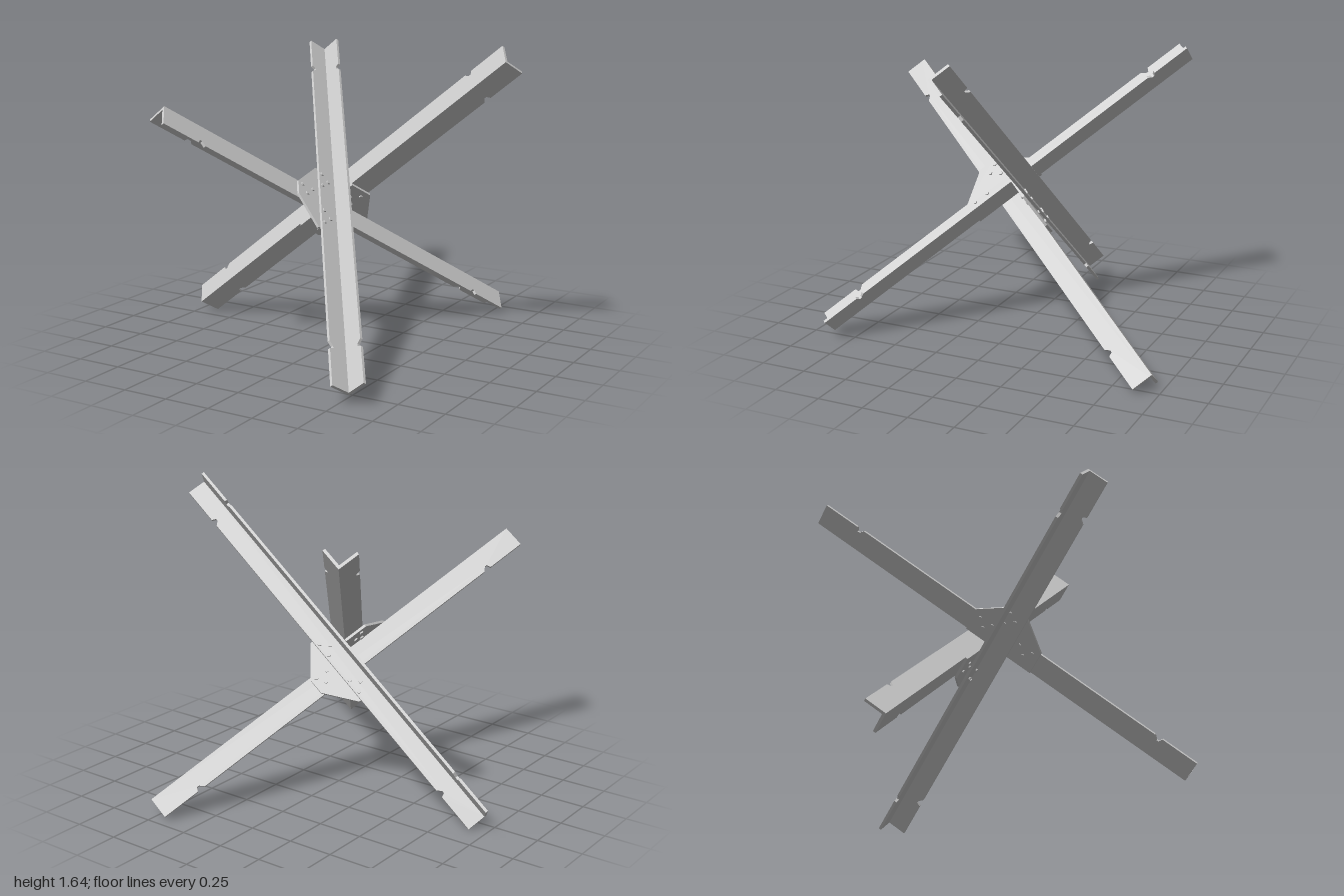
import * as THREE from 'three';

const LENGTH = 2.43, WIDTH = 0.12, THICK = 0.015, PLATE = 0.014;
const material = new THREE.MeshStandardMaterial({ color: 0xcccccc, flatShading: true });

const vec = (x, y, z) => new THREE.Vector3(x, y, z);

function plate(points, depth) {
  const shape = new THREE.Shape(points.map(([x, y]) => new THREE.Vector2(x, y)));
  return new THREE.ExtrudeGeometry(shape, { depth, bevelEnabled: false });
}

function addMesh(parent, geometry, name) {
  const mesh = new THREE.Mesh(geometry, material);
  mesh.name = name;
  parent.add(mesh);
  return mesh;
}

// Group whose local x, y, z run along the given axes from an origin
function orientedGroup(name, origin, x, y, z) {
  const group = new THREE.Group();
  group.name = name;
  group.quaternion.setFromRotationMatrix(new THREE.Matrix4().makeBasis(x, y, z));
  group.position.copy(origin);
  return group;
}

// One leg of the angle section, with a notch in its free edge near each end
function flange(inner) {
  const h = LENGTH / 2;
  const notch = [[0.215, 0], [0.225, 0.022], [0.238, 0.022], [0.26, 0]];
  const right = notch.map(([d, s]) => [h - d, WIDTH - s]);
  const left = right.map(([x, y]) => [-x, y]).reverse();
  return plate([[-h, inner], [h, inner], [h, WIDTH], ...right, ...left, [-h, WIDTH]], THICK);
}

// Angle beam along local x, with flanges along local y and z from the ridge
function beam(name, origin, x, y, z) {
  const group = orientedGroup(name, origin, x, y, z);
  addMesh(group, flange(0), 'flange');
  addMesh(group, flange(THICK).rotateX(Math.PI / 2).translate(0, THICK, 0), 'sideFlange');
  return group;
}

// Gusset plate with bolts through the crossing beams
function gusset(name, origin, x, y, z) {
  const group = orientedGroup(name, origin, x, y, z);
  const half = [[0.21, 0], [0.21, 0.132], [0.045, 0.26]];
  const outline = [...half, ...half.map(([px, py]) => [-px, py]).reverse()];
  addMesh(group, plate(outline, PLATE), 'gussetPlate');

  const bolt = (px, py, from, to) => {
    const geometry = new THREE.CylinderGeometry(0.011, 0.011, to - from, 10).rotateX(Math.PI / 2);
    addMesh(group, geometry, 'bolt').position.set(px, py, (from + to) / 2);
  };
  // bolts on the arm
  for (const [px, py] of [[0.035, 0.23], [-0.012, 0.2], [0.035, 0.16]]) {
    bolt(px, py, -THICK - 0.008, PLATE + 0.008);
  }
  // bolts on both ends of the base
  for (const side of [-1, 1]) {
    for (const [px, py] of [[0.17, 0.1], [0.13, 0.06], [0.09, 0.1]]) {
      bolt(side * px, py, -0.008, PLATE + THICK + 0.008);
    }
  }
  return group;
}

export function createModel() {
  const model = new THREE.Group();
  model.name = 'antiTankObstacle';

  // Tilted frame: the three beams run along its a, b and c axes
  const a = vec(0.783, 0.622, 0.016).normalize();
  const c = a.clone().cross(vec(-0.452, 0.593, -0.667)).normalize();
  const b = c.clone().cross(a);
  const frame = orientedGroup('tiltedFrame', vec(0, 0, 0), a, b, c);
  model.add(frame);

  const X = vec(1, 0, 0), Y = vec(0, 1, 0), Z = vec(0, 0, 1);
  const nX = vec(-1, 0, 0), nY = vec(0, -1, 0), nZ = vec(0, 0, -1);

  frame.add(
    beam('crossBeam', vec(0.51, 0.487, 0.431), nX, Y, nZ),
    beam('frontToBackBeam', vec(0.466, 0.43, 0.431), Y, Z, X),
    beam('backToFrontBeam', vec(0.452, 0.473, 0.34), Z, nX, nY),
    gusset('frontGusset', vec(0.452, 0.413, 0.431), Y, Z, X),
    gusset('backGusset', vec(0.392, 0.473, 0.431), X, nZ, Y),
  );
  return model;
}
